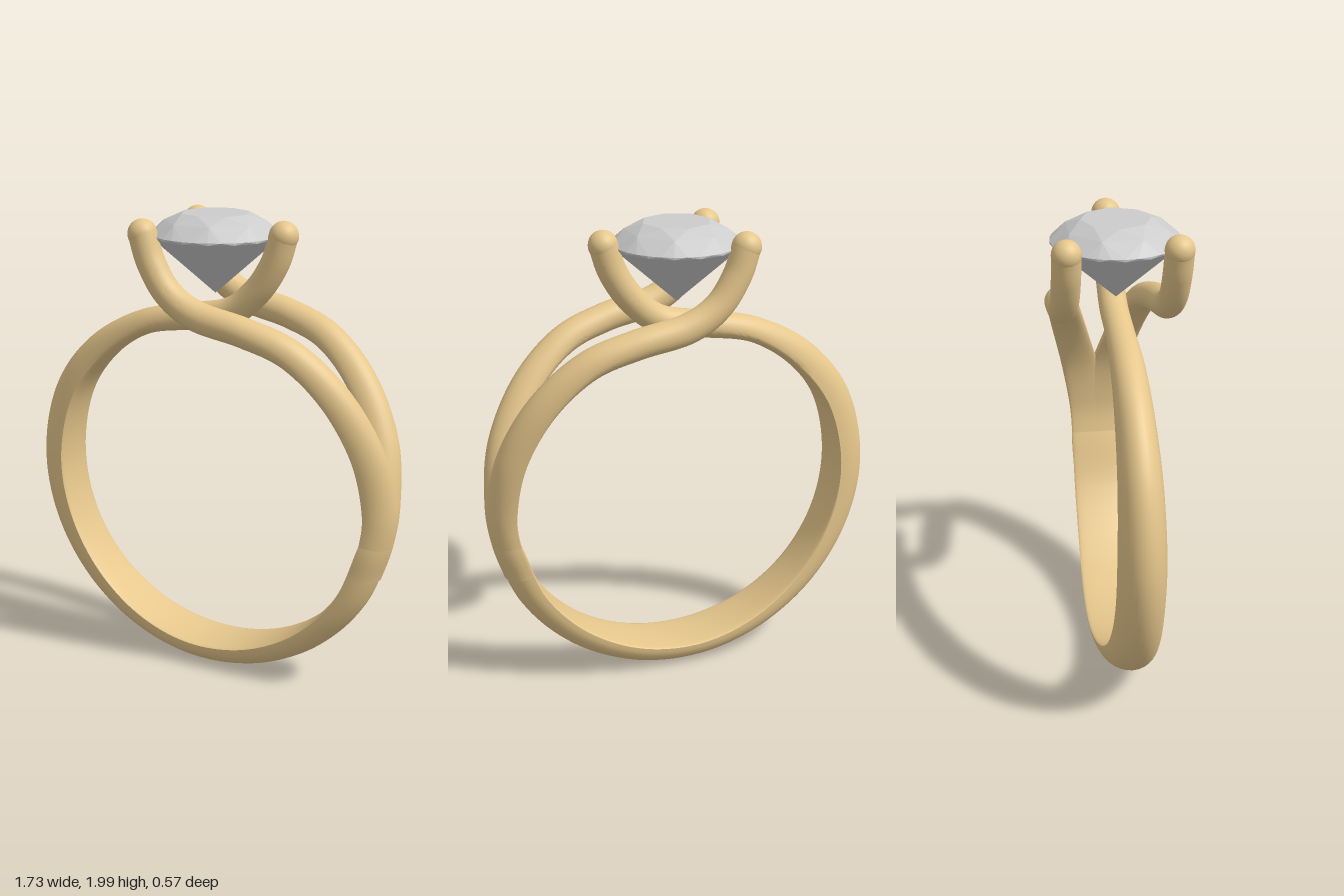
import * as THREE from 'three';
import { toCreasedNormals } from 'three/addons/utils/BufferGeometryUtils.js';
import { ConvexGeometry } from 'three/addons/geometries/ConvexGeometry.js';

const gold = new THREE.MeshStandardMaterial({ color: 0xe6c78c });
const grey = new THREE.MeshStandardMaterial({ color: 0xcccccc });

// Sweeps a D-to-round section along rows of [x, y, z, half width, outer height, inner height].
// dir is +1 for a path running counter-clockwise seen from the front, -1 for clockwise.
function sweep(rows, dir, steps = 160, sides = 32) {
  const curve = (k) => new THREE.CatmullRomCurve3(
    rows.map((r) => new THREE.Vector3(r[k], r[k + 1], r[k + 2])), false, 'catmullrom', 0.5);
  const path = curve(0), size = curve(3);
  const pos = [], index = [];
  for (let i = 0; i <= steps; i++) {
    const t = i / steps;
    const p = path.getPoint(t), s = size.getPoint(t), T = path.getTangent(t);
    const N = new THREE.Vector3(T.y * dir, -T.x * dir, 0).normalize();
    const S = new THREE.Vector3().crossVectors(T, N);
    for (let j = 0; j < sides; j++) {
      const a = (j / sides) * Math.PI * 2, sin = Math.sin(a);
      const q = p.clone()
        .addScaledVector(S, s.x * Math.cos(a))
        .addScaledVector(N, sin * (sin > 0 ? s.y : s.z));
      pos.push(q.x, q.y, q.z);
      if (i < steps) {
        const b = i * sides + j, c = i * sides + (j + 1) % sides;
        index.push(b, b + sides, c, c, b + sides, c + sides);
      }
    }
  }
  const g = new THREE.BufferGeometry();
  g.setAttribute('position', new THREE.Float32BufferAttribute(pos, 3));
  g.setIndex(index);
  return toCreasedNormals(g, 0.5);
}

// Row on the round lower part of the band, at an angle about the finger hole
function bandRow(angle) {
  const down = Math.max(0, -Math.sin(angle)), left = Math.max(0, -Math.cos(angle));
  const w = 0.112 - 0.014 * left * left + 0.018 * down ** 6;
  return [0.015 + 0.745 * Math.cos(angle), 0.85 + 0.745 * Math.sin(angle), 0,
    w, 0.1 + 0.035 * left * left, 0.01];
}

function addMesh(parent, name, geometry, material) {
  const m = new THREE.Mesh(geometry, material);
  m.name = name;
  parent.add(m);
  return m;
}

function addTip(parent, name, x, z) {
  addMesh(parent, name, new THREE.SphereGeometry(0.061, 28, 18), gold).position.set(x, 1.927, z);
}

export function createModel() {
  const model = new THREE.Group();
  model.name = 'ring';

  // Band: from the right side round the bottom, up the left and over into one prong
  const band = [];
  for (let i = 0; i <= 8; i++) band.push(bandRow(-0.2 - (Math.PI - 0.2) * i / 8));
  band.push(
    [-0.675, 1.125, 0, 0.09, 0.13, 0.01],
    [-0.53, 1.335, 0, 0.08, 0.11, 0.02],
    [-0.33, 1.485, 0, 0.07, 0.075, 0.035],
    [-0.1, 1.552, 0, 0.061, 0.06, 0.055],
    [0.09, 1.595, 0, 0.06, 0.06, 0.06],
    [0.21, 1.69, 0, 0.06, 0.06, 0.06],
    [0.29, 1.81, 0, 0.06, 0.06, 0.06],
    [0.33, 1.93, 0, 0.06, 0.06, 0.06]);
  addMesh(model, 'band', sweep(band, -1, 240), gold);
  addTip(model, 'singleProngTip', 0.33, 0);

  // Split strands: part on the other side and sweep over into a pair of prongs
  for (const side of [1, -1]) {
    const rows = [
      bandRow(-0.4), bandRow(-0.2),
      [0.76, 0.86, 0.02, 0.102, 0.1, 0.01],
      [0.722, 1.085, 0.078, 0.083, 0.103, 0.012],
      [0.615, 1.305, 0.135, 0.076, 0.092, 0.025],
      [0.455, 1.475, 0.18, 0.07, 0.075, 0.045],
      [0.265, 1.56, 0.208, 0.066, 0.063, 0.06],
      [0.05, 1.61, 0.22, 0.061, 0.063, 0.063],
      [-0.08, 1.69, 0.223, 0.06, 0.06, 0.06],
      [-0.16, 1.81, 0.224, 0.06, 0.06, 0.06],
      [-0.2, 1.93, 0.225, 0.06, 0.06, 0.06],
    ].map(([x, y, z, ...s]) => [x, y, z * side, ...s]);
    const name = side > 0 ? 'front' : 'back';
    addMesh(model, name + 'Strand', sweep(rows, 1), gold);
    addTip(model, name + 'ProngTip', -0.2, 0.225 * side);
  }

  // Faceted stone: table, crown, thin girdle and pointed pavilion
  const points = [new THREE.Vector3(0, 1.665, 0)];
  const ring = (n, r, y, turn) => {
    for (let i = 0; i < n; i++) {
      const a = (i + turn) / n * Math.PI * 2;
      points.push(new THREE.Vector3(r * Math.cos(a), y, r * Math.sin(a)));
    }
  };
  ring(8, 0.145, 2, 0);
  ring(8, 0.215, 1.968, 0.5);
  ring(32, 0.27, 1.915, 0);
  ring(16, 0.27, 1.905, 0);
  const stone = addMesh(model, 'stone', new ConvexGeometry(points), grey);
  stone.position.x = 0.015;

  return model;
}
